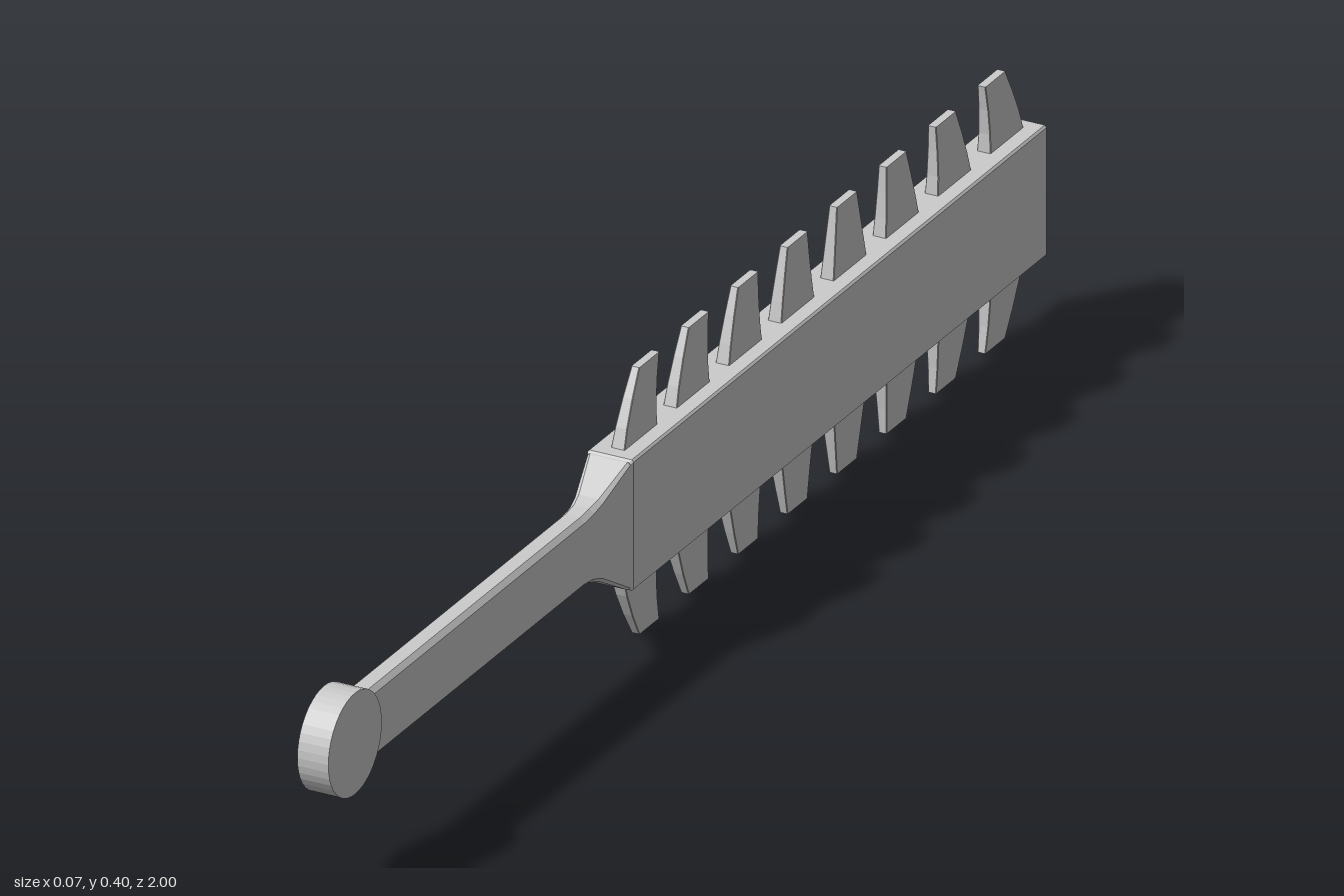
import * as THREE from 'three';

const material = new THREE.MeshStandardMaterial({ color: 0xcccccc, flatShading: true });

// Rectangle with cut corners, counter-clockwise seen from +z
function section(z, hx, hy, cut, cy = 0) {
  const a = hx - cut, b = hy - cut;
  return [[hx, -b], [hx, b], [a, hy], [-a, hy], [-hx, b], [-hx, -b], [-a, -hy], [a, -hy]]
    .map(([x, y]) => new THREE.Vector3(x, y + cy, z));
}

// Skin a run of sections ordered towards +z and cap both ends
function loft(rings) {
  const pos = [];
  const tri = (...pts) => pts.forEach(p => pos.push(p.x, p.y, p.z));
  const n = rings[0].length;
  for (let r = 0; r < rings.length - 1; r++) {
    const a = rings[r], b = rings[r + 1];
    for (let i = 0; i < n; i++) {
      const j = (i + 1) % n;
      tri(a[i], a[j], b[j]);
      tri(a[i], b[j], b[i]);
    }
  }
  const first = rings[0], last = rings[rings.length - 1];
  for (let i = 1; i < n - 1; i++) {
    tri(first[0], first[i + 1], first[i]);
    tri(last[0], last[i], last[i + 1]);
  }
  const geo = new THREE.BufferGeometry();
  geo.setAttribute('position', new THREE.Float32BufferAttribute(pos, 3));
  geo.computeVertexNormals();
  return geo;
}

function part(name, geometry, parent) {
  const mesh = new THREE.Mesh(geometry, material);
  mesh.name = name;
  parent.add(mesh);
  return mesh;
}

// Tapered tooth standing on y = 0, its tip bending by `lean` along z
function toothGeometry(lean) {
  const height = 0.105;
  const rings = [0, 0.3, 0.65, 1].map(t => section(
    t * height,
    THREE.MathUtils.lerp(0.0105, 0.006, t),
    THREE.MathUtils.lerp(0.047, 0.028, t),
    0.001,
    -lean * Math.pow(t, 1.5)
  ));
  return loft(rings).rotateX(-Math.PI / 2);
}

export function createModel() {
  const model = new THREE.Group();
  model.name = 'toothedClub';
  const body = new THREE.Group();
  body.name = 'body';
  body.position.y = 0.1975;
  model.add(body);

  // Long flat blade with narrow bevels
  part('blade', loft([
    section(-1, 0.031, 0.093, 0.002),
    section(-0.996, 0.035, 0.097, 0.003),
    section(0.164, 0.035, 0.097, 0.003),
    section(0.168, 0.032, 0.094, 0.002),
  ]), body);

  // Handle flaring into the blade
  part('handle', loft([
    section(0.16, 0.033, 0.096, 0.003),
    section(0.17, 0.032, 0.094, 0.004),
    section(0.225, 0.021, 0.061, 0.006),
    section(0.245, 0.0185, 0.055, 0.007),
    section(0.27, 0.018, 0.052, 0.007),
    section(0.92, 0.018, 0.052, 0.007),
  ]), body);

  // Disc pommel
  const pommel = part('pommel', new THREE.CylinderGeometry(0.075, 0.075, 0.047, 40), body);
  pommel.rotation.z = Math.PI / 2;
  pommel.position.z = 0.925;

  // Matching rows of teeth above and below, fanning from end to end
  for (const [name, turn] of [['upperTeeth', 0], ['lowerTeeth', Math.PI]]) {
    const row = new THREE.Group();
    row.name = name;
    row.rotation.z = turn;
    body.add(row);
    for (let i = 0; i < 8; i++) {
      const tooth = part('tooth', toothGeometry(-0.032 + i * 0.0082), row);
      tooth.position.set(0, 0.0925, 0.098 - i * 0.147);
    }
  }
  return model;
}
